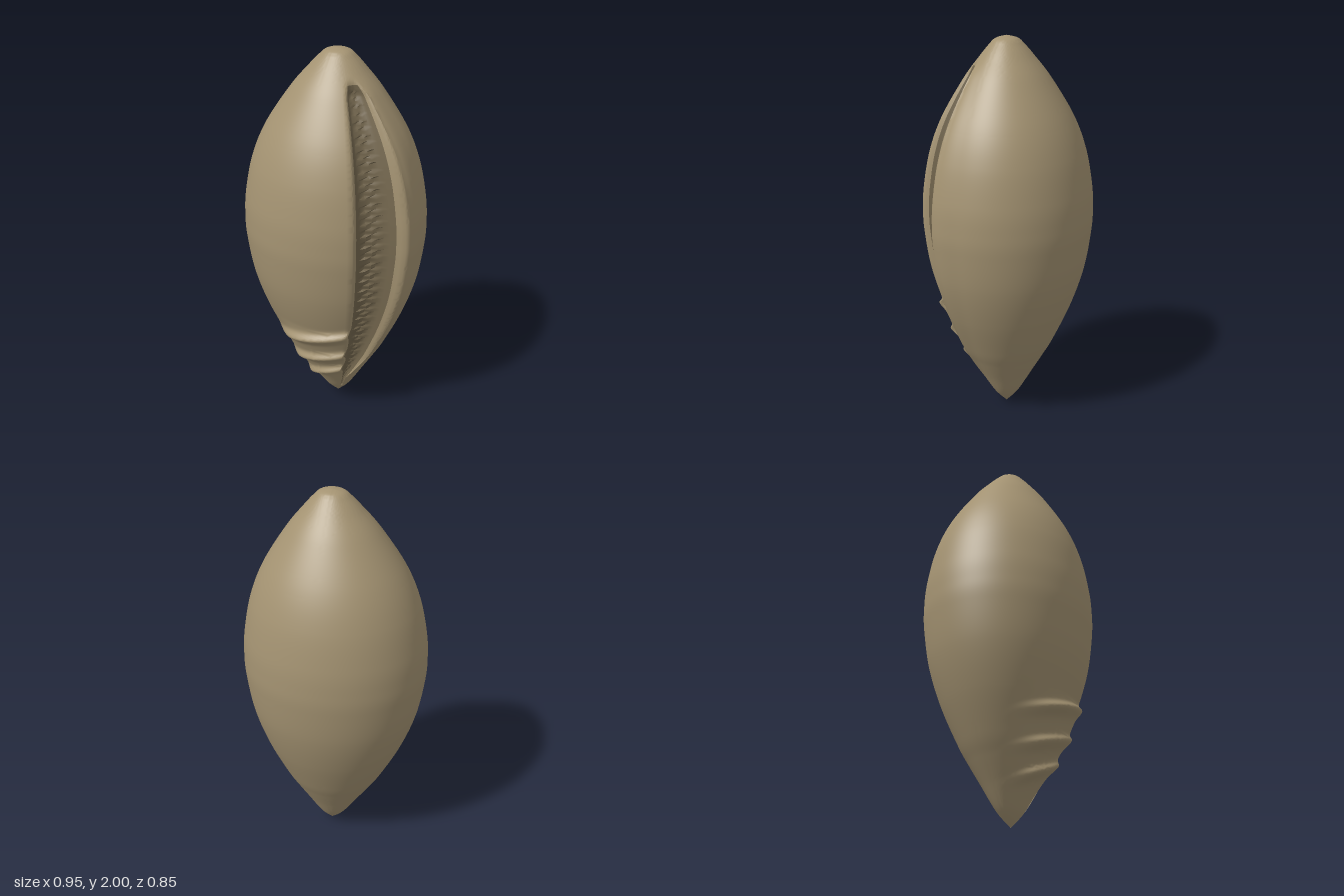
import * as THREE from 'three';
import { toCreasedNormals } from 'three/addons/utils/BufferGeometryUtils.js';

const RX = 0.475, RZ = 0.425;  // half width and half depth at the widest ring
const LIP_B = 0.99;            // ellipse angle of the inner lip
const WALL = 100, SUB = 2;     // points round the outer wall, steps per groove edge
const smooth = THREE.MathUtils.smoothstep;
const ellipse = (t) => [RX * Math.cos(t), RZ * Math.sin(t)];

// Outline of the shell: radius (in x) and height
const profile = new THREE.SplineCurve([
  [0.001, 0], [0.073, 0.075], [0.153, 0.2], [0.216, 0.3], [0.275, 0.4], [0.37, 0.6],
  [0.437, 0.8], [0.47, 1.0], [0.475, 1.12], [0.465, 1.25], [0.427, 1.43], [0.357, 1.6],
  [0.235, 1.79], [0.145, 1.9], [0.095, 1.955], [0.06, 1.985], [0.001, 2.0],
].map(([r, y]) => new THREE.Vector2(r, y)));

// Aperture groove in the widest ring, from the outer lip to the inner lip (x, z)
const groove = [
  [0.4686, 0.125], [0.466, 0.142], [0.452, 0.154], [0.405, 0.16], [0.34, 0.162], [0.295, 0.2],
  [0.25, 0.25], [0.247, 0.28], [0.262, 0.315], [0.267, 0.342], [0.2605, 0.3553],
];
const GROOVE_POINTS = (groove.length - 1) * SUB;
const FLOOR_START = WALL + 3 * SUB, FLOOR_END = WALL + 8 * SUB;

// Folds on the inner lip: height at x = 0, slope, leftward reach
const folds = [[0.54, 0.21, 0.27], [0.384, 0.26, 0.22], [0.25, 0.38, 0.15]];

// One unit ring: closed position, grooved position and fold weight of each point.
// The outer lip turns further forward where the shell is narrow.
function makeSection(s, y) {
  const lipA = Math.asin(Math.min(0.294 * s ** (y < 1.1 ? -0.7 : -0.5), 0.74));
  const turned = ellipse(lipA), widest = ellipse(Math.asin(0.294));
  const pts = [];
  for (let i = 0; i < WALL; i++) {
    const toLip = (lipA + Math.PI * 2 - LIP_B) * (1 - i / WALL);
    const t = lipA + Math.PI * 2 - toLip;
    const [x, z] = ellipse(t);
    const flare = 0.015 * (1 - smooth(toLip, 0, 0.35));
    pts.push({ base: [x, z], cut: [x + flare, z], w: t < Math.PI ? 1 : 0 });
  }
  for (let i = 0; i < GROOVE_POINTS; i++) {
    const k = Math.floor(i / SUB), f = (i % SUB) / SUB, u = i / GROOVE_POINTS;
    // Staggered steps roughen the deepest part of the groove
    const step = i > 4 * SUB && i < 6 * SUB ? 1 - 0.03 * ((Math.floor(y / 0.032) + i) % 2) : 1;
    const cut = [0, 1].map((c) => step * (THREE.MathUtils.lerp(groove[k][c], groove[k + 1][c], f)
      + (turned[c] - widest[c]) * Math.max(0, 1 - 1.6 * u)));
    pts.push({ base: ellipse(lipA + (LIP_B - lipA) * u), cut, w: smooth(u, 0.5, 0.85) });
  }
  return pts;
}

// Outward swelling of the folds at a surface point
function foldHeight(x, y) {
  let h = 0.016 * smooth(y, 0.1, 0.28) * (1 - smooth(y, 0.5, 0.62)) * smooth(x, -0.26, -0.04);
  for (const [y0, slope, reach] of folds) {
    const d = y - y0 - slope * x;
    const width = d > 0 ? 0.024 : 0.032;
    h += 0.034 * Math.exp(-((d / width) ** 2)) * smooth(x, -reach, -reach * 0.4);
  }
  return h;
}

// All rings of the shell, from the lower tip to the upper tip
function makeRings() {
  return profile.getSpacedPoints(220).map(({ x: r, y }) => {
    const s = Math.max(r, 0.0005) / RX;
    const open = smooth(y, 0.03, 0.16) * (1 - smooth(y, 1.8, 1.89));
    const shift = 0.018 * (1 - s);  // both tips sit slightly off the axis
    return makeSection(s, y).map(({ base, cut, w }) => {
      const x = s * THREE.MathUtils.lerp(base[0], cut[0], open);
      const z = s * THREE.MathUtils.lerp(base[1], cut[1], open);
      return [x + shift, y, z + (y < 0.75 ? w * foldHeight(x, y) : 0)];
    });
  });
}

// Surface over `count` columns of the rings, beginning at column `first`
function strip(rings, first, count) {
  const n = rings[0].length, row = count + 1;
  const pos = [], index = [];
  rings.forEach((ring, j) => {
    for (let i = 0; i <= count; i++) {
      pos.push(...ring[(first + i) % n]);
      if (j < rings.length - 1 && i < count) {
        const a = j * row + i, b = a + 1;
        index.push(a, a + row, b, b, a + row, b + row);
      }
    }
  });
  const geo = new THREE.BufferGeometry();
  geo.setAttribute('position', new THREE.Float32BufferAttribute(pos, 3));
  geo.setIndex(index);
  return toCreasedNormals(geo, 0.8);
}

export function createModel() {
  const group = new THREE.Group();
  group.name = 'seaShell';
  const rings = makeRings();
  const low = rings.findIndex((ring) => ring[0][1] > 0.08);
  const high = rings.findIndex((ring) => ring[0][1] > 1.85);
  const floorCount = FLOOR_END - FLOOR_START;
  const shellColor = 0xa49372, floorColor = 0x75684f;
  const add = (name, color, part, first, count) => {
    const material = new THREE.MeshStandardMaterial({ color, side: THREE.DoubleSide });
    const mesh = new THREE.Mesh(strip(part, first, count), material);
    mesh.name = name;
    group.add(mesh);
  };
  // Outer wall with both lips
  add('shellBody', shellColor, rings, FLOOR_END, rings[0].length - floorCount);
  // Darker floor of the aperture, closed by the shell at both tips
  add('apertureFloor', floorColor, rings.slice(low, high + 1), FLOOR_START, floorCount);
  add('lowerTip', shellColor, rings.slice(0, low + 1), FLOOR_START, floorCount);
  add('upperTip', shellColor, rings.slice(high), FLOOR_START, floorCount);
  return group;
}
